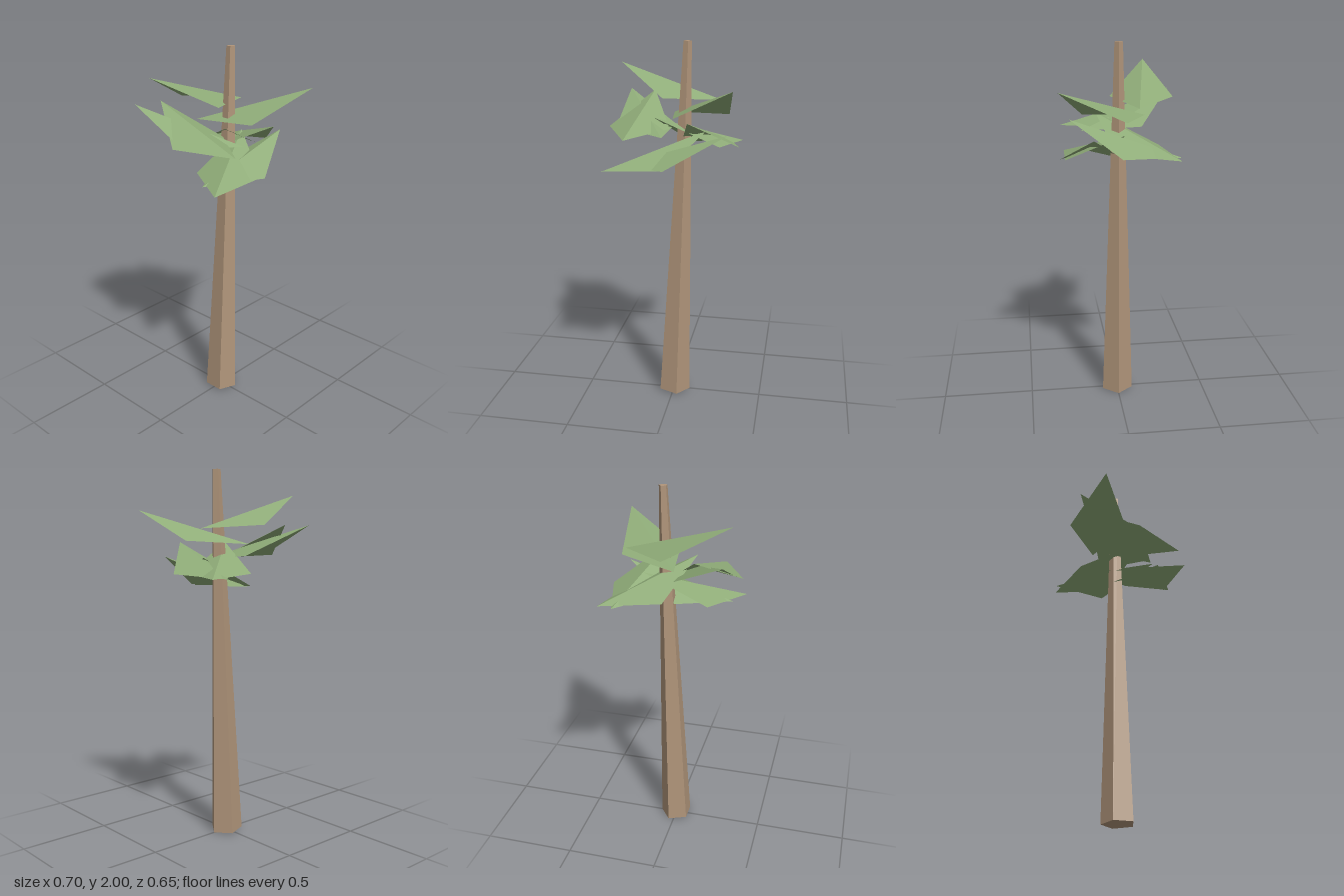
import * as THREE from 'three';

const bark = new THREE.MeshStandardMaterial({ color: 0xb0957a });
bark.name = 'bark brown';
const foliage = new THREE.MeshStandardMaterial({ color: 0x8fac78, side: THREE.DoubleSide });
foliage.name = 'leaf green';

// Tapered five-sided trunk leaning towards +x
function createTrunk() {
  const geo = new THREE.CylinderGeometry(0.0227, 0.09, 2, 5, 1, false, Math.PI / 2).toNonIndexed();
  geo.translate(0, 1, 0);
  const p = geo.attributes.position;
  for (let i = 0; i < p.count; i++) {
    const x = p.getX(i), y = p.getY(i);
    if (y > 1) p.setX(i, x + 0.068);
    else p.setY(i, (0.09 - x) * 0.06); // base cut square to the lean
  }
  geo.computeVertexNormals();
  const trunk = new THREE.Mesh(geo, bark);
  trunk.name = 'trunk';
  return trunk;
}

// Kite-shaped leaf folded along a sloping ridge, from its high end to its low end
function createLeaf([hx, hz, lx, lz, top]) {
  const along = new THREE.Vector3(lx - hx, 0, lz - hz).normalize();
  const across = new THREE.Vector3(-along.z, 0, along.x);
  const high = new THREE.Vector3(hx, top, hz);
  const low = new THREE.Vector3(lx, top - 0.18, lz);
  const side = (s) => high.clone().addScaledVector(along, 0.302).addScaledVector(across, 0.167 * s)
    .add(new THREE.Vector3(0, -0.162, 0));
  const geo = new THREE.BufferGeometry().setFromPoints([high, side(1), low, high, low, side(-1)]);
  geo.computeVertexNormals();
  return new THREE.Mesh(geo, foliage);
}

export function createModel() {
  const tree = new THREE.Group();
  tree.name = 'tree';
  tree.add(createTrunk());

  // High end x, z; low end x, z; height of the high end
  const leaves = [
    [-0.325, -0.185, 0.245, -0.083, 1.87],
    [0.34, 0.325, -0.025, -0.155, 1.79],
    [-0.16, -0.287, -0.21, 0.29, 1.71],
    [-0.305, -0.325, -0.035, 0.187, 1.71],
    [-0.09, 0.107, 0.34, -0.285, 1.62],
    [0.11, 0.26, 0.26, -0.30, 1.62],
    [0.30, 0.15, -0.28, 0.13, 1.545],
    [0.175, -0.016, -0.333, 0.265, 1.54],
  ];
  const crown = new THREE.Group();
  crown.name = 'crown';
  leaves.forEach((spec, i) => {
    const leaf = createLeaf(spec);
    leaf.name = `leaf${i + 1}`;
    crown.add(leaf);
  });
  tree.add(crown);
  return tree;
}
